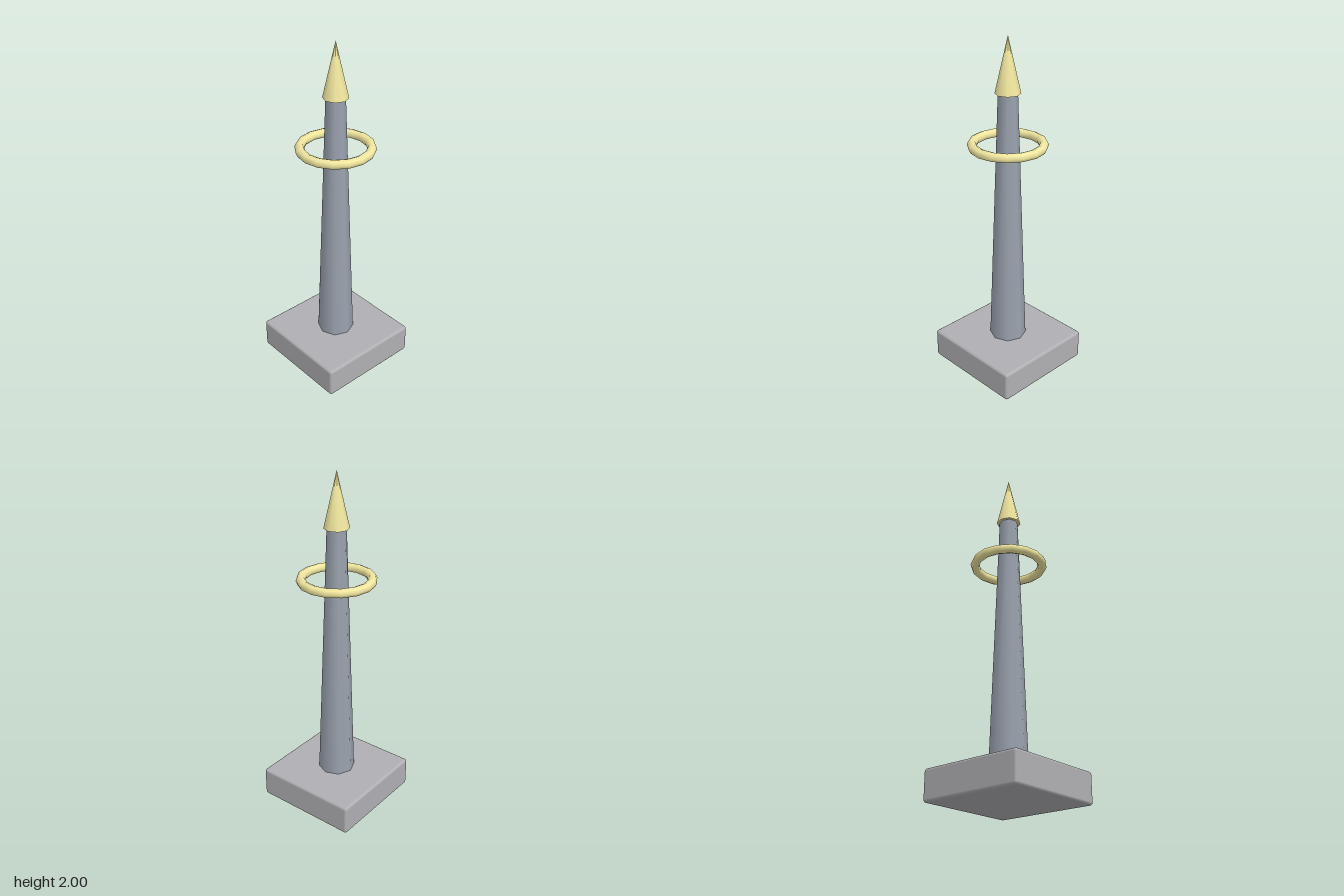
import * as THREE from 'three';
import { RoundedBoxGeometry } from 'three/addons/geometries/RoundedBoxGeometry.js';

export function createModel() {
  const group = new THREE.Group();
  const stone = new THREE.MeshStandardMaterial({ color: 0xb0b0b4 });
  const slate = new THREE.MeshStandardMaterial({ color: 0x9aa2ae });
  const gold = new THREE.MeshStandardMaterial({ color: 0xf2e8a0 });

  const add = (name, geometry, material, y) => {
    const mesh = new THREE.Mesh(geometry, material);
    mesh.name = name;
    mesh.position.y = y;
    group.add(mesh);
    return mesh;
  };

  // Square plinth with softened edges
  add('base', new RoundedBoxGeometry(0.625, 0.178, 0.625, 2, 0.016), stone, 0.089);

  // Tapered eight-sided shaft, its foot resting on the plinth
  const foot = 0.178, shoulder = 1.69;
  add('shaft', new THREE.CylinderGeometry(0.054, 0.107, shoulder - foot, 8), slate, (foot + shoulder) / 2);

  // Pointed tip, slightly wider than the shaft
  add('tip', new THREE.ConeGeometry(0.071, 2 - shoulder, 8), gold, (2 + shoulder) / 2);

  // Level ring floating around the shaft
  const ring = add('ring', new THREE.TorusGeometry(0.1975, 0.0265, 8, 16), gold, 1.4);
  ring.rotation.x = Math.PI / 2;

  return group;
}
